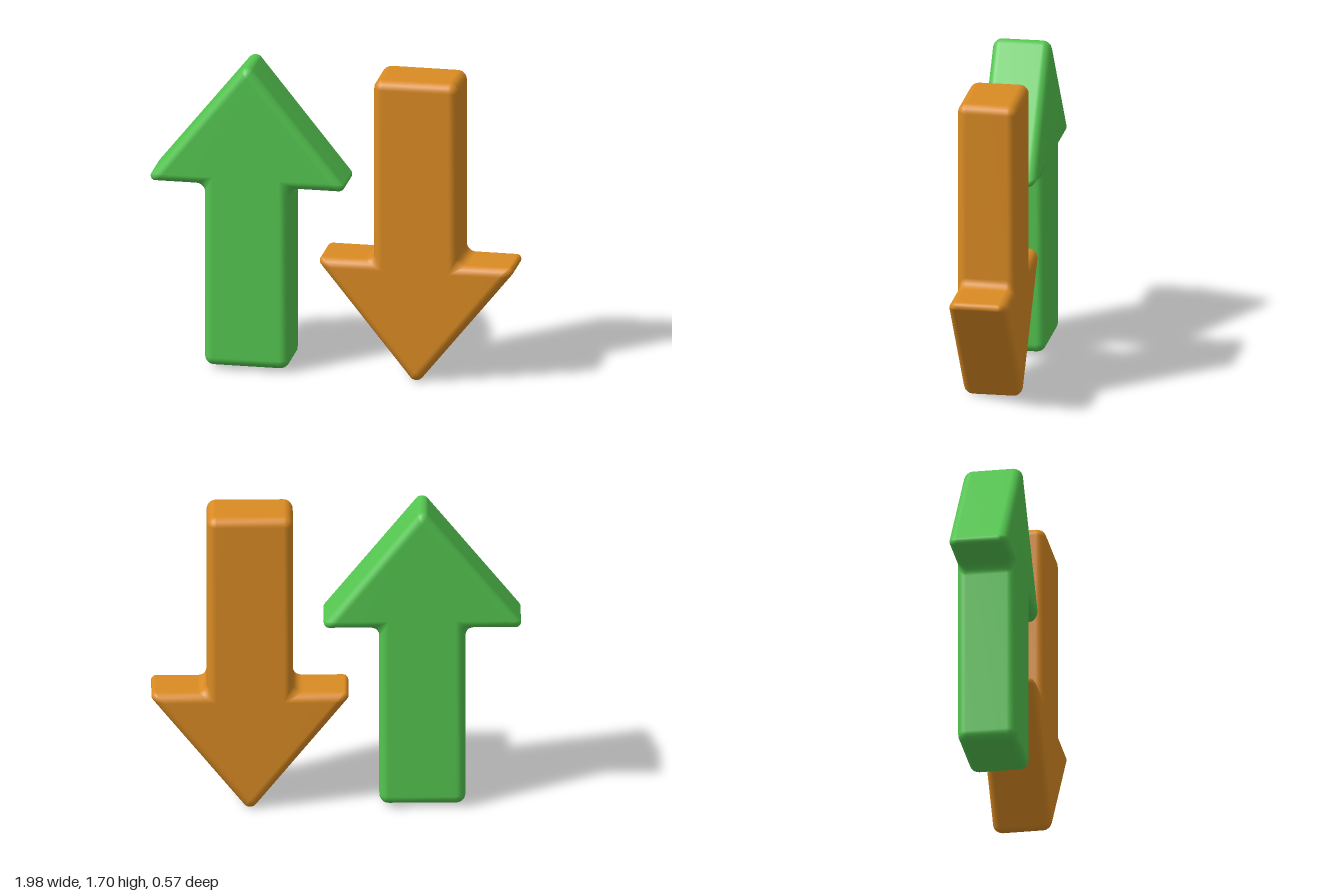
import * as THREE from 'three';
import { mergeVertices } from 'three/addons/utils/BufferGeometryUtils.js';

const BEVEL = 0.05;        // rounding of every edge
const HALF_DEPTH = 0.16;
const ARC_STEPS = 5;       // segments round each outline corner
const BEVEL_STEPS = 5;     // segments round the front and back edges

// Sharp outline of an upward arrow, counter-clockwise, standing on y = 0
const right = [[0.23, 0], [0.23, 1.015], [0.553, 1.015]];
const outline = [
  ...right,
  [0, 1.704],
  ...right.map(([x, y]) => [-x, y]).reverse(),
].map(([x, y]) => new THREE.Vector2(x, y));

// Outline moved inwards by a distance
function insetOutline(points, distance) {
  const n = points.length;
  const inward = points.map((p, i) => {
    const d = points[(i + 1) % n].clone().sub(p).normalize();
    return new THREE.Vector2(-d.y, d.x);
  });
  return points.map((p, i) => {
    const a = inward[(i + n - 1) % n], b = inward[i];
    return a.clone().add(b).multiplyScalar(distance / (1 + a.dot(b))).add(p);
  });
}

// Replace each corner by a circular arc starting and ending `cut` from it
function roundCorners(points, cut) {
  const n = points.length, result = [];
  points.forEach((p, i) => {
    const u = points[(i + n - 1) % n].clone().sub(p).normalize();
    const v = points[(i + 1) % n].clone().sub(p).normalize();
    const w = Math.sqrt((1 - u.dot(v)) / 2);
    for (let k = 0; k <= ARC_STEPS; k++) {
      const t = k / ARC_STEPS;
      const a = (1 - t) ** 2, b = t * t;
      const sum = a + b + 2 * w * t * (1 - t);
      result.push(p.clone().addScaledVector(u, cut * a / sum).addScaledVector(v, cut * b / sum));
    }
  });
  return result;
}

// Stack of outlines from back to front, closed by flat faces
function arrowGeometry() {
  const layers = [];
  for (const side of [-1, 1]) {
    for (let k = 0; k <= BEVEL_STEPS; k++) {
      const t = side < 0 ? k : BEVEL_STEPS - k;
      const angle = (t / BEVEL_STEPS) * Math.PI / 2;
      const inset = BEVEL * (1 - Math.sin(angle));
      const z = side * (HALF_DEPTH - BEVEL * (1 - Math.cos(angle)));
      const loop = roundCorners(insetOutline(outline, inset), BEVEL - inset);
      layers.push({ loop, z });
    }
  }
  const positions = [], indices = [];
  layers.forEach(({ loop, z }) => loop.forEach((p) => positions.push(p.x, p.y, z)));

  const count = layers[0].loop.length;
  for (let l = 0; l < layers.length - 1; l++) {
    for (let i = 0; i < count; i++) {
      const j = (i + 1) % count;
      const a = l * count + i, b = l * count + j;
      indices.push(a, b, b + count, a, b + count, a + count);
    }
  }

  const faces = THREE.ShapeUtils.triangulateShape(insetOutline(outline, BEVEL), []);
  const front = (layers.length - 1) * count, step = ARC_STEPS + 1;
  for (const [a, b, c] of faces) {
    indices.push(front + a * step, front + b * step, front + c * step);
    indices.push(c * step, b * step, a * step);
  }

  const geometry = new THREE.BufferGeometry();
  geometry.setAttribute('position', new THREE.Float32BufferAttribute(positions, 3));
  geometry.setIndex(indices);
  const merged = mergeVertices(geometry, 1e-5);
  merged.computeVertexNormals();
  return merged;
}

export function createModel() {
  const green = new THREE.MeshStandardMaterial({ name: 'green', color: 0x54c650 });
  const orange = new THREE.MeshStandardMaterial({ name: 'orange', color: 0xda8b23 });
  const geometry = arrowGeometry();

  const upArrow = new THREE.Mesh(geometry, green);
  upArrow.name = 'upArrow';
  upArrow.position.set(-0.46, 0.02, 0);

  const downArrow = new THREE.Mesh(geometry, orange);
  downArrow.name = 'downArrow';
  downArrow.position.set(0.46, 1.68, 0);
  downArrow.rotation.z = Math.PI;

  // The pair is turned slightly about the upright axis
  const arrows = new THREE.Group();
  arrows.name = 'arrowPair';
  arrows.rotation.y = 0.14;
  arrows.add(upArrow, downArrow);

  const model = new THREE.Group();
  model.name = 'upAndDownArrows';
  model.add(arrows);
  return model;
}
